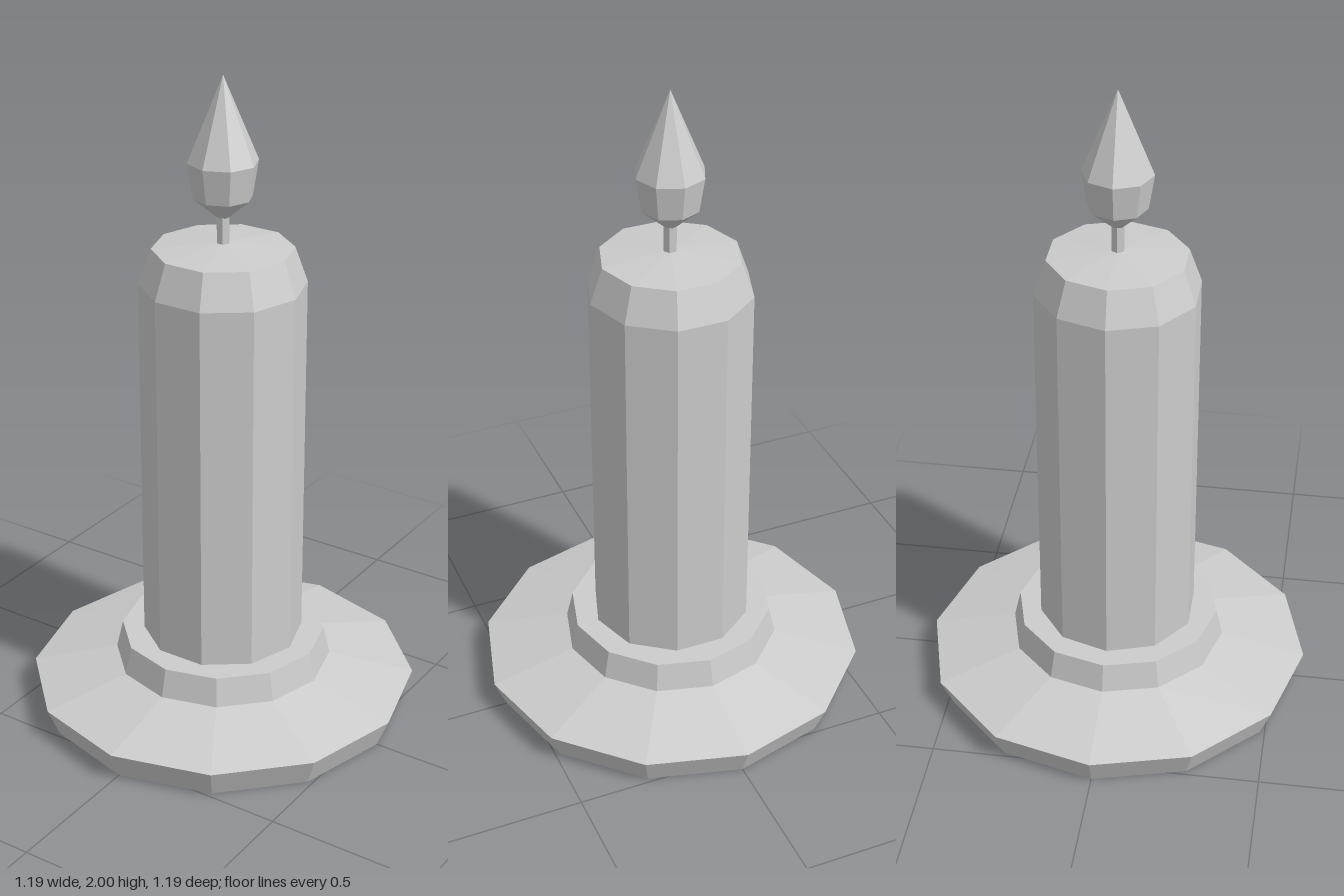
import * as THREE from 'three';

const grey = new THREE.MeshStandardMaterial({ color: 0xcccccc, flatShading: true });
grey.name = 'plain grey';

// Faceted turned part from [radius, height] pairs, listed bottom to top
function turned(name, sides, profile) {
  const points = profile.map(([r, y]) => new THREE.Vector2(r, y));
  const mesh = new THREE.Mesh(new THREE.LatheGeometry(points, sides, Math.PI / 2), grey);
  mesh.name = name;
  return mesh;
}

export function createModel() {
  const model = new THREE.Group();
  model.name = 'candle';
  model.add(
    // Dish with a raised collar
    turned('holder', 12, [[0, 0], [0.56, 0], [0.597, 0.09], [0.335, 0.15], [0.315, 0.238], [0, 0.238]]),
    // Ten-sided wax body with a bevelled, slightly domed top
    turned('wax', 10, [[0, 0.23], [0.246, 0.23], [0.246, 1.385], [0.208, 1.492], [0, 1.51]]),
    turned('wick', 6, [[0, 1.49], [0.02, 1.49], [0.02, 1.61], [0, 1.61]]),
    // Pointed flame
    turned('flame', 8, [[0, 1.57], [0.087, 1.645], [0.104, 1.75], [0, 2]])
  );
  return model;
}
